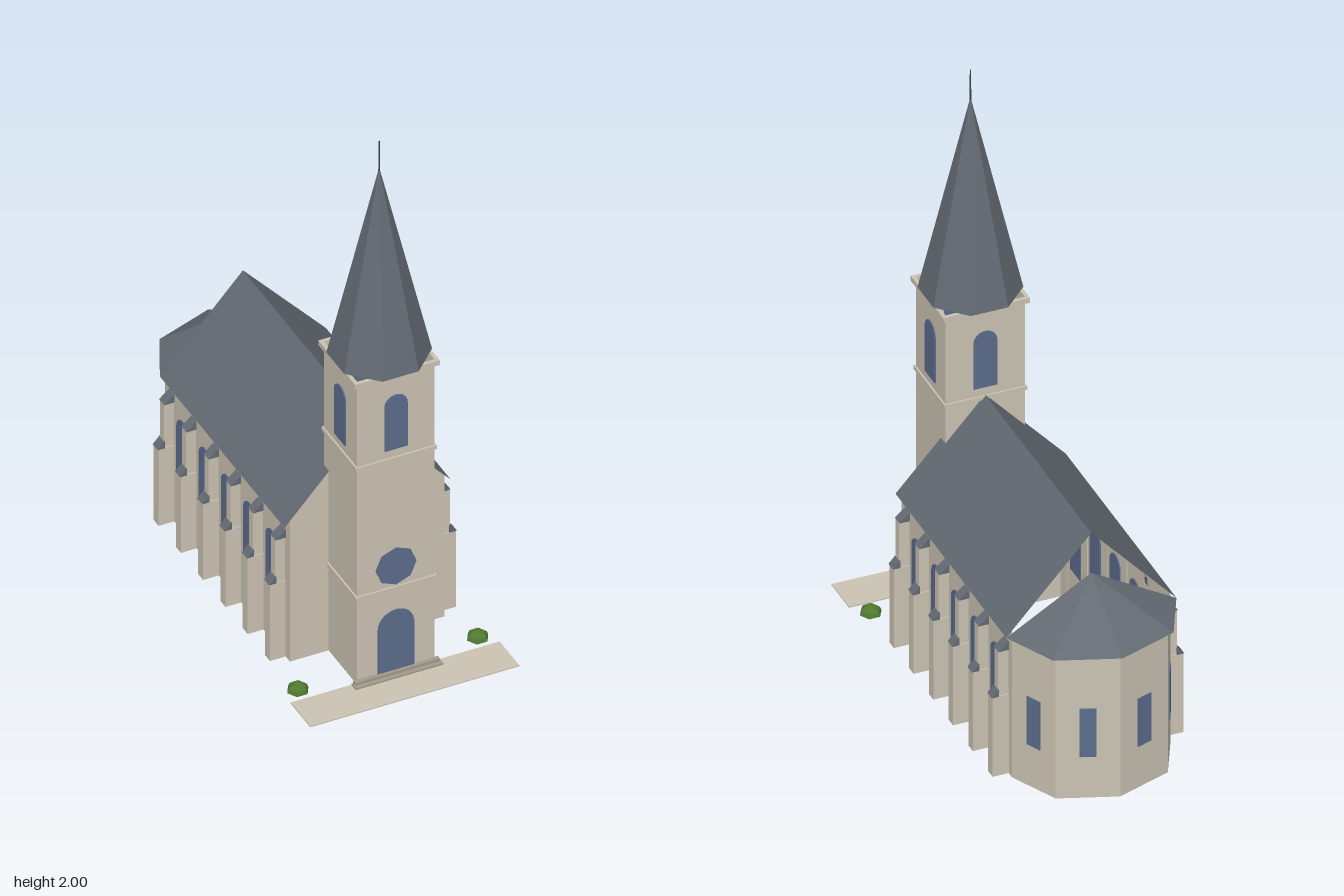
import * as THREE from 'three';

const mat = (name, color) => new THREE.MeshStandardMaterial({ name, color, flatShading: true, side: THREE.DoubleSide });

export function createModel() {
  const church = new THREE.Group();
  church.name = 'church';
  const stone = mat('stone', 0xcbc3b3);
  const slate = mat('slate', 0x636a72);
  const glass = mat('glass', 0x5b6c8c);
  const stepStone = mat('step stone', 0xa39a8b);
  const leaf = mat('leaf', 0x4f7a30);
  const metal = mat('metal', 0x3a4046);

  const add = (name, geometry, material, x = 0, y = 0, z = 0, turn = 0) => {
    const m = new THREE.Mesh(geometry, material);
    m.name = name;
    m.position.set(x, y, z);
    m.rotation.y = turn;
    church.add(m);
    return m;
  };
  const box = (name, w, h, d, material, x, y, z) => add(name, new THREE.BoxGeometry(w, h, d), material, x, y + h / 2, z);

  // Open surface from polygons, each a fan of [x, y, z] corners
  const surface = (polygons) => {
    const p = [];
    for (const c of polygons)
      for (let i = 1; i < c.length - 1; i++) p.push(...c[0], ...c[i], ...c[i + 1]);
    const g = new THREE.BufferGeometry();
    g.setAttribute('position', new THREE.Float32BufferAttribute(p, 3));
    g.computeVertexNormals();
    return g;
  };

  // Thin plate straddling the wall, so it shows inside and outside
  const plate = (name, shape, x, y, z, turn = 0) => {
    const g = new THREE.ExtrudeGeometry(shape, { depth: 0.008, bevelEnabled: false, curveSegments: 8 });
    g.translate(0, 0, -0.004);
    return add(name, g, glass, x, y, z, turn);
  };
  const arch = (w, h) => {
    const s = new THREE.Shape();
    s.moveTo(-w / 2, 0);
    s.lineTo(w / 2, 0);
    s.lineTo(w / 2, h - w / 2);
    s.absarc(0, h - w / 2, w / 2, 0, Math.PI, false);
    s.closePath();
    return s;
  };
  const polygon = (points) => new THREE.Shape(points.map(([x, y]) => new THREE.Vector2(x, y)));

  // Nave: two side walls and the front gable, open underneath
  const W = 0.27, E = 0.29, front = 0.4, back = -0.488, ridge = 0.85, eave = 0.53;
  const slopeY = (x) => ridge - (ridge - eave) * x / E;
  const wallTop = slopeY(W) - 0.002;
  const f = front - 0.003;
  add('naveWalls', surface([
    [[W, 0, f], [W, 0, back], [W, wallTop, back], [W, wallTop, f]],
    [[-W, 0, back], [-W, 0, f], [-W, wallTop, f], [-W, wallTop, back]],
    [[-W, 0, f], [W, 0, f], [W, wallTop, f], [0, ridge - 0.002, f], [-W, wallTop, f]],
  ]), stone);
  add('naveRoof', surface([
    [[E, eave, front], [E, eave, back], [0, ridge, back], [0, ridge, front]],
    [[-E, eave, back], [-E, eave, front], [0, ridge, front], [0, ridge, back]],
  ]), slate);

  // Apse: four facets on a half ellipse, with a faceted half-cone roof
  const rim = (i, rx, rz, y) => {
    const a = i * Math.PI / 4;
    return [rx * Math.cos(a), y, back - rz * Math.sin(a)];
  };
  const apseWalls = [], apseRoof = [];
  for (let i = 0; i < 4; i++) {
    const a = rim(i, W, 0.232, 0), b = rim(i + 1, W, 0.232, 0);
    apseWalls.push([a, b, [b[0], 0.538, b[2]], [a[0], 0.538, a[2]]]);
    apseRoof.push([rim(i, E, 0.25, eave), rim(i + 1, E, 0.25, eave), [0, 0.7, back]]);
    const turn = Math.atan2(-(b[2] - a[2]), b[0] - a[0]) + Math.PI;
    plate('apseWindow', polygon([[-0.027, 0], [0.027, 0], [0.027, 0.18], [-0.027, 0.18]]),
      (a[0] + b[0]) / 2, 0.155, (a[2] + b[2]) / 2, turn);
  }
  add('apseWalls', surface(apseWalls), stone);
  add('apseRoof', surface(apseRoof), slate);

  // Stepped buttresses with sloping slate caps, and arched windows between
  const cap = (side, x0, x1, y0, y1, z) => {
    const s = polygon([[x0, y0], [x1, y0], [x0, y1]]);
    const g = new THREE.ExtrudeGeometry(s, { depth: 0.037, bevelEnabled: false });
    g.translate(0, 0, -0.0185);
    const m = add('buttressCap', g, slate, 0, 0, z);
    if (side < 0) m.rotation.y = Math.PI;
  };
  for (const side of [1, -1]) {
    for (let i = 0; i < 6; i++) {
      const z = 0.349 - i * 0.1585;
      box('buttressUpper', 0.037, 0.465, 0.028, stone, side * 0.2865, 0, z);
      box('buttressLower', 0.022, 0.297, 0.036, stone, side * 0.314, 0, z);
      box('buttressFoot', 0.033, 0.297, 0.036, stone, side * 0.2865, 0, z);
      cap(side, W, 0.306, 0.464, 0.495, z);
      cap(side, 0.303, 0.328, 0.296, 0.323, z);
      if (i < 5) plate('naveWindow', arch(0.08, 0.27), side * W, 0.16, z - 0.079, side * Math.PI / 2);
    }
  }

  // Tower shaft, open underneath, with string courses and a cornice
  const tz = 0.482, tx = 0.135, td = 0.118;
  const shaft = new THREE.CylinderGeometry(Math.SQRT2, Math.SQRT2, 1.175, 4, 1, true);
  shaft.rotateY(Math.PI / 4);
  shaft.scale(tx, 1, td);
  add('towerWalls', shaft, stone, 0, 1.175 / 2, tz);
  const ring = (name, y, h, out) => {
    const s = polygon([[-tx - out, -td - out], [tx + out, -td - out], [tx + out, td + out], [-tx - out, td + out]]);
    s.holes.push(polygon([[-tx, -td], [-tx, td], [tx, td], [tx, -td]]));
    const g = new THREE.ExtrudeGeometry(s, { depth: h, bevelEnabled: false });
    g.rotateX(-Math.PI / 2);
    add(name, g, stone, 0, y, tz);
  };
  ring('lowerStringCourse', 0.33, 0.014, 0.006);
  ring('upperStringCourse', 0.835, 0.014, 0.006);
  ring('cornice', 1.165, 0.018, 0.013);
  for (let i = 0; i < 4; i++) {
    const a = i * Math.PI / 2, r = i % 2 ? tx : td;
    plate('belfryWindow', arch(0.08, 0.21), Math.sin(a) * r, 0.88, tz + Math.cos(a) * r, a);
  }
  const rose = [];
  for (let i = 0; i < 8; i++) rose.push([0.071 * Math.cos(i * Math.PI / 4), 0.071 * Math.sin(i * Math.PI / 4)]);
  plate('roseWindow', polygon(rose), 0, 0.422, tz + td);
  plate('door', arch(0.126, 0.232), 0, 0.02, tz + td);

  // Octagonal spire and its rod
  const spire = new THREE.ConeGeometry(0.166, 0.715, 8);
  spire.rotateY(Math.PI / 8);
  add('spire', spire, slate, 0, 1.183 + 0.715 / 2, tz);
  add('spireRod', new THREE.CylinderGeometry(0.002, 0.003, 0.12, 6), metal, 0, 1.94, tz);

  // Entrance steps, forecourt and bushes
  box('lowerStep', 0.306, 0.01, 0.03, stepStone, 0, 0, 0.613);
  box('upperStep', 0.296, 0.02, 0.016, stepStone, 0, 0, 0.606);
  box('forecourt', 0.73, 0.004, 0.14, stone, 0, 0, 0.666);
  for (const side of [1, -1]) {
    const g = new THREE.SphereGeometry(0.037, 6, 3, 0, Math.PI * 2, 0, Math.PI / 2);
    g.scale(1, 0.8, 1);
    add('bush', g, leaf, side * 0.314, 0, 0.543);
  }
  return church;
}
